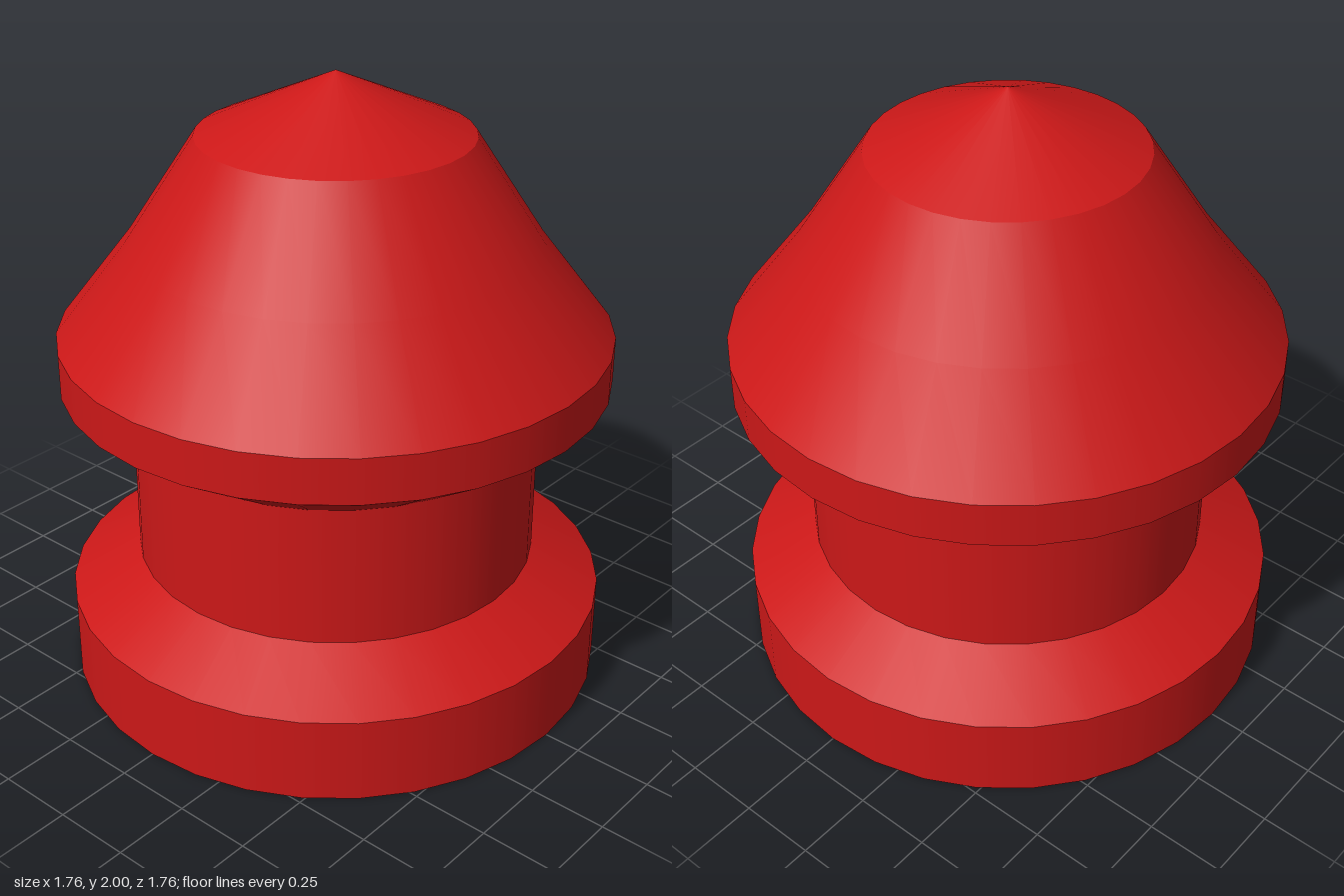
import * as THREE from 'three';

const SIDES = 32;

export function createModel() {
  const group = new THREE.Group();
  const material = new THREE.MeshStandardMaterial({ color: 0xcc1818 });

  // Each band is turned separately, so its rims stay crisp and its wall smooth.
  // Profiles run from the bottom up as [radius, height].
  const bands = {
    baseUnderside: [[0, 0], [0.88, 0]],
    baseWall: [[0.88, 0], [0.88, 0.28]],
    baseShoulder: [[0.88, 0.28], [0.655, 0.41]],
    neck: [[0.655, 0.41], [0.655, 0.875]],
    capUnderside: [[0.655, 0.875], [0.88, 1.025]],
    capRim: [[0.88, 1.025], [0.88, 1.172]],
    capSlope: [[0.88, 1.172], [0.65, 1.47], [0.43, 1.806]],
    capTip: [[0.43, 1.806], [0, 2]],
  };

  for (const [name, profile] of Object.entries(bands)) {
    const points = profile.map(([r, y]) => new THREE.Vector2(r, y));
    const mesh = new THREE.Mesh(new THREE.LatheGeometry(points, SIDES), material);
    mesh.name = name;
    group.add(mesh);
  }
  return group;
}
